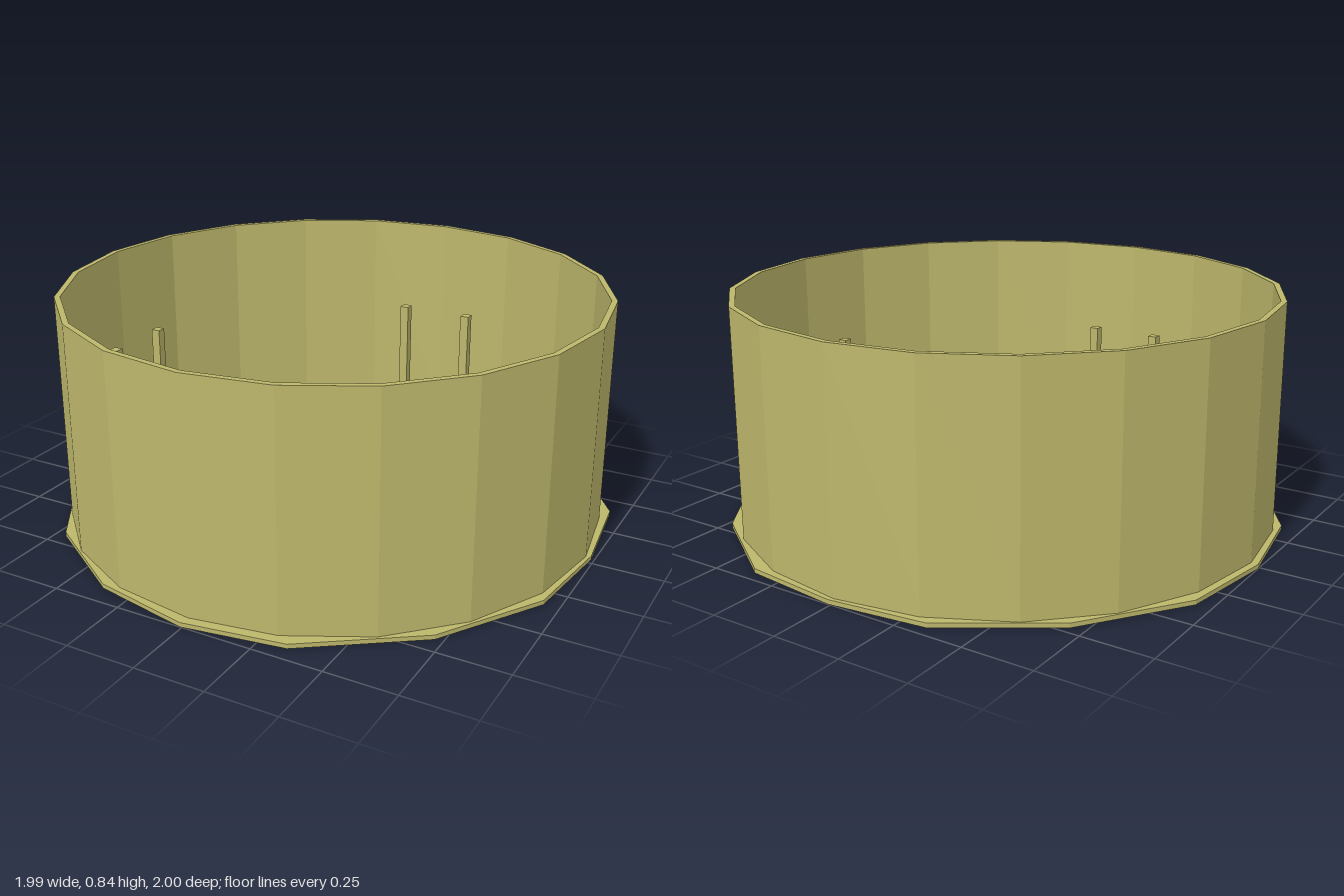
import * as THREE from 'three';

const CENTER_Z = -0.01;
const BASE_TOP = 0.016;
const LEDGE_TOP = 0.06;
const WALL_TOP = 0.84;
const POST_TOP = 0.495;

const material = new THREE.MeshStandardMaterial({ color: 0xbdb76b, flatShading: true });

// Regular 20-sided outline with corners on the axes
function polygon(radius, sides = 20) {
  return Array.from({ length: sides }, (_, i) => {
    const a = (i / sides) * Math.PI * 2;
    return new THREE.Vector2(Math.cos(a) * radius, Math.sin(a) * radius);
  });
}

// Extrude a plan outline upward from y0 to y1
function slab(name, shape, y0, y1) {
  const geometry = new THREE.ExtrudeGeometry(shape, { depth: y1 - y0, bevelEnabled: false });
  geometry.rotateX(-Math.PI / 2);
  const mesh = new THREE.Mesh(geometry, material);
  mesh.name = name;
  mesh.position.y = y0;
  return mesh;
}

export function createModel() {
  const model = new THREE.Group();
  model.name = 'roundTray';

  // Thin base plate with a slightly uneven 16-cornered outline (x, z)
  const corners = [
    [0.01, -1], [0.365, -0.957], [0.71, -0.718], [0.946, -0.381],
    [0.99, -0.024], [0.946, 0.333], [0.722, 0.686], [0.349, 0.946],
    [-0.008, 1], [-0.365, 0.925], [-0.706, 0.70], [-0.936, 0.35],
    [-1, -0.01], [-0.946, -0.37], [-0.70, -0.722], [-0.344, -0.958],
  ];
  const outline = new THREE.Shape(corners.map(([x, z]) => new THREE.Vector2(x, -z)).reverse());
  model.add(slab('basePlate', outline, 0, BASE_TOP));

  // Thin faceted wall, with a separate low band at its foot
  const ring = new THREE.Shape(polygon(0.975));
  ring.holes.push(new THREE.Path(polygon(0.954)));
  for (const [name, y0, y1] of [['wallFoot', BASE_TOP, LEDGE_TOP], ['wall', LEDGE_TOP, WALL_TOP]]) {
    const part = slab(name, ring, y0, y1);
    part.position.z = CENTER_Z;
    model.add(part);
  }

  // Four pairs of slim posts just inside the wall
  const posts = new THREE.Group();
  posts.name = 'posts';
  posts.position.z = CENTER_Z;
  const postGeometry = new THREE.BoxGeometry(0.035, POST_TOP - BASE_TOP, 0.035);
  for (let i = 0; i < 4; i++) {
    const pair = new THREE.Group();
    pair.name = 'postPair';
    pair.rotation.y = (i * Math.PI) / 2;
    for (const side of [-1, 1]) {
      const post = new THREE.Mesh(postGeometry, material);
      post.name = 'post';
      post.position.set(side * 0.137, (POST_TOP + BASE_TOP) / 2, 0.885);
      pair.add(post);
    }
    posts.add(pair);
  }
  model.add(posts);

  return model;
}
